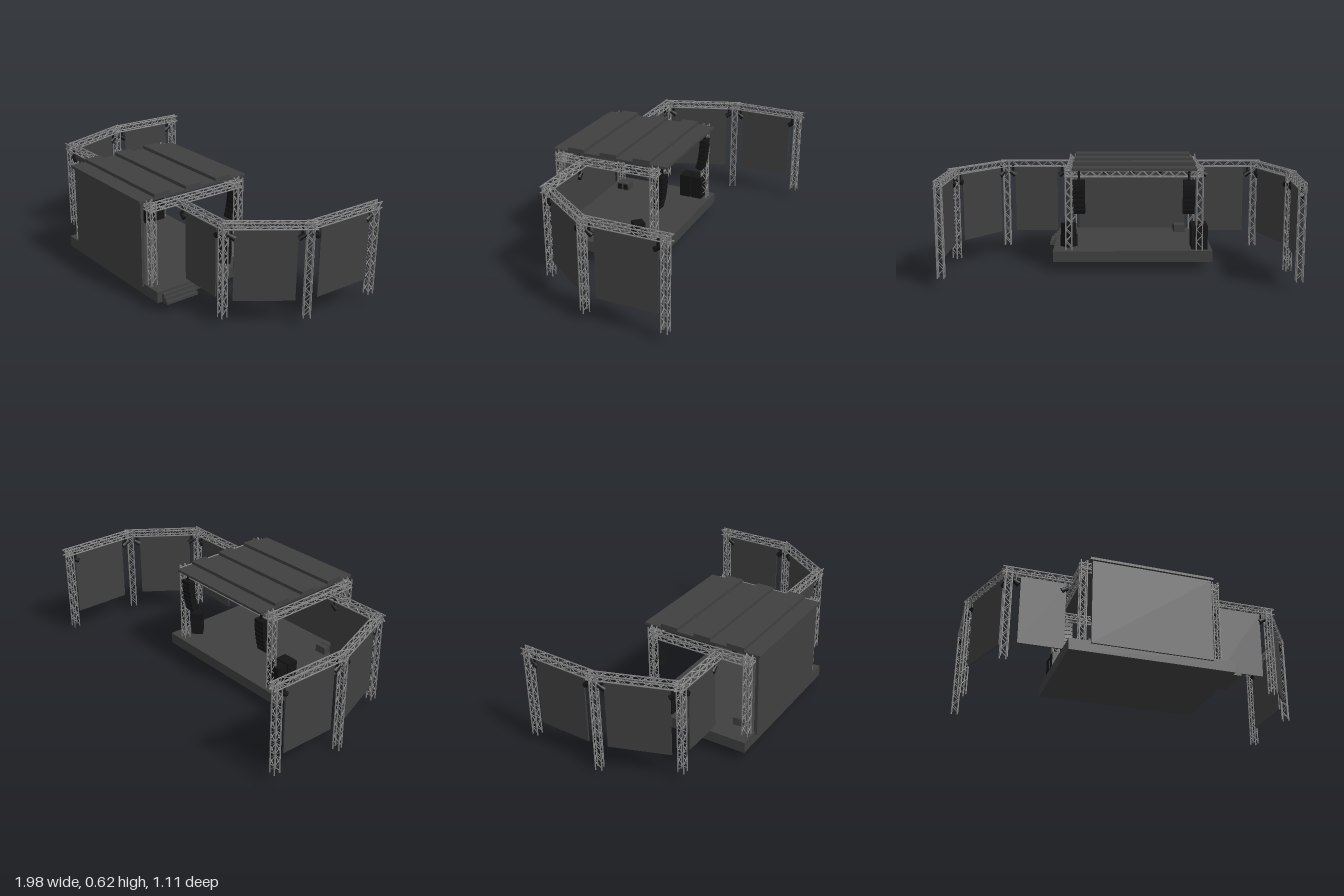
import * as THREE from 'three';
import { mergeGeometries } from 'three/addons/utils/BufferGeometryUtils.js';

const V = (x, y, z) => new THREE.Vector3(x, y, z);
const mat = (name, color) => {
  const m = new THREE.MeshStandardMaterial({ color });
  m.name = name;
  return m;
};

export function createModel() {
  const model = new THREE.Group();
  const panelGrey = mat('panel grey', 0x404040);
  const trussGrey = mat('truss grey', 0x808080);
  const black = mat('equipment black', 0x141414);
  const UP = V(0, 1, 0);

  const add = (name, geo, m) => {
    const mesh = new THREE.Mesh(geo, m);
    mesh.name = name;
    model.add(mesh);
    return mesh;
  };
  // Box given by its limits on each axis
  const box = (name, m, x0, x1, y0, y1, z0, z1) => {
    const b = add(name, new THREE.BoxGeometry(x1 - x0, y1 - y0, z1 - z0), m);
    b.position.set((x0 + x1) / 2, (y0 + y1) / 2, (z0 + z1) / 2);
    return b;
  };
  // Round bar between two points
  const bar = (a, b, r) => {
    const d = b.clone().sub(a);
    const g = new THREE.CylinderGeometry(r, r, d.length(), 6);
    g.applyQuaternion(new THREE.Quaternion().setFromUnitVectors(UP, d.normalize()));
    return g.translate((a.x + b.x) / 2, (a.y + b.y) / 2, (a.z + b.z) / 2);
  };
  // Square lattice truss: four chords and a zigzag on each side
  const truss = (name, a, b, side, w = 0.034) => {
    const dir = b.clone().sub(a);
    const n = Math.max(2, Math.round(dir.length() / 0.038));
    const other = dir.clone().normalize().cross(side).normalize();
    const at = (k, t) => {
      const [s, o] = [[-1, -1], [1, -1], [1, 1], [-1, 1]][k % 4];
      return a.clone().addScaledVector(dir, t)
        .addScaledVector(side, s * w / 2).addScaledVector(other, o * w / 2);
    };
    const parts = [];
    for (let k = 0; k < 4; k++) {
      parts.push(bar(at(k, 0), at(k, 1), 0.004));
      for (let i = 0; i < n; i++) {
        const flip = (i + (k >> 1)) % 2;
        const t0 = (i + 0.4) / (n + 0.4), t1 = (i + 1.4) / (n + 0.4);
        parts.push(bar(at(k + flip, t0), at(k + 1 - flip, t1), 0.0025));
      }
    }
    add(name, mergeGeometries(parts), trussGrey);
  };
  const tower = (name, x, z, y0, y1, yaw = 0) =>
    truss(name, V(x, y0, z), V(x, y1, z), V(Math.cos(yaw), 0, -Math.sin(yaw)));
  const beam = (name, x0, z0, x1, z1) => {
    const side = V(z1 - z0, 0, x0 - x1).normalize();
    truss(name, V(x0, 0.568, z0), V(x1, 0.568, z1), side);
  };
  // Small spotlight hanging from a clamp, aimed along yaw
  const lamp = (x, z, yaw) => {
    const g = new THREE.Group();
    g.name = 'spotlight';
    const can = new THREE.Mesh(new THREE.CylinderGeometry(0.011, 0.016, 0.04, 10), black);
    can.rotation.x = -1.0;
    const hook = new THREE.Mesh(new THREE.BoxGeometry(0.01, 0.045, 0.01), black);
    hook.position.y = 0.025;
    g.add(can, hook);
    g.position.set(x, 0.508, z);
    g.rotation.y = yaw;
    model.add(g);
  };

  // Stage deck and stairs
  box('stageDeck', panelGrey, -0.53, 0.38, 0.065, 0.128, -0.12, 0.53);
  for (let i = 0; i < 3; i++)
    box('stairStep', panelGrey, 0.38, 0.396 + i * 0.016, 0.065, 0.113 - i * 0.016, 0.3, 0.5);

  // Backdrop wall and ribbed roof
  box('backdropWall', panelGrey, -0.415, 0.255, 0.113, 0.595, 0.522, 0.54);
  box('roofSlab', panelGrey, -0.432, 0.266, 0.592, 0.606, -0.145, 0.553);
  for (const z of [-0.04, 0.16, 0.36])
    box('roofRib', panelGrey, -0.432, 0.266, 0.606, 0.625, z, z + 0.1);

  // Stage frame
  for (const x of [-0.455, 0.29]) {
    for (const z of [-0.08, 0.498]) tower('stageTower', x, z, 0.128, 0.605);
    beam('sideBeam', x, -0.1, x, 0.52);
  }
  for (const z of [-0.08, 0.498]) beam('crossBeam', -0.475, z, 0.31, z);

  // Screen wings: corner points [x, z, foot height] and panel spans along each run
  const wings = [
    {
      pts: [[0.31, 0.34], [0.69, 0.345, 0.06], [0.945, 0, 0.06], [0.953, -0.445, 0.06]],
      spans: [[0.18, 0.855], [0.12, 0.86], [0.15, 0.92]], tail: 0.035,
    },
    {
      pts: [[-0.475, 0.335], [-0.82, 0.335, 0.06], [-0.963, -0.085, 0.005], [-0.945, -0.515, 0.06]],
      spans: [[0.09, 0.81], [0.12, 0.88], [0.14, 0.88]], tail: 0.035,
    },
  ];
  for (const { pts, spans, tail } of wings) {
    for (let i = 0; i < 3; i++) {
      const [x0, z0] = pts[i], [x1, z1, foot] = pts[i + 1];
      const dx = x1 - x0, dz = z1 - z0, len = Math.hypot(dx, dz);
      const yaw = Math.atan2(-dz, dx);
      const e = tail / len;
      beam('wingBeam', x0, z0, x1 + dx * e, z1 + dz * e);
      tower('wingTower', x1, z1, foot, 0.588, yaw);

      // Hanging screen
      const [s, t] = spans[i], mid = (s + t) / 2;
      const screen = add('screen', new THREE.BoxGeometry(len * (t - s), 0.392, 0.008), panelGrey);
      screen.position.set(x0 + dx * mid, 0.35, z0 + dz * mid);
      screen.rotation.y = yaw;

      // Spotlights at both ends of the run
      for (const d of [0.04, len - 0.04])
        lamp(x0 + dx * d / len, z0 + dz * d / len, yaw + (d < 0.05 ? 1 : -1) * Math.PI / 2);
    }
  }

  // Hanging line arrays, slightly curved
  for (const x of [-0.392, 0.228]) {
    for (let i = 0; i < 7; i++) {
      const cab = add('lineArrayCabinet', new THREE.BoxGeometry(0.066, 0.024, 0.04), black);
      cab.position.set(x, 0.522 - i * 0.0275, -0.1 + i * i * 0.0006);
      cab.rotation.x = -i * 0.05;
    }
    box('lineArrayHanger', black, x - 0.006, x + 0.006, 0.53, 0.592, -0.106, -0.094);
  }

  // Floor speakers: a stacked pair on one side, a turned cabinet on the other
  for (const z of [-0.075, 0.0])
    box('subwoofer', black, -0.505, -0.412, 0.128, 0.265, z, z + 0.066);
  for (const [y, h, s] of [[0.163, 0.07, 0.07], [0.232, 0.066, 0.064]]) {
    const cab = add('cornerSpeaker', new THREE.BoxGeometry(s, h, s), black);
    cab.position.set(0.295, y, 0.015);
    cab.rotation.y = Math.PI / 4;
  }

  // Amplifier cases
  for (let i = 0; i < 2; i++) {
    box('amplifierCase', panelGrey, -0.41, -0.34, 0.128, 0.172, 0.392 + i * 0.04, 0.428 + i * 0.04);
    box('amplifierGrille', black, -0.34, -0.336, 0.134, 0.166, 0.397 + i * 0.04, 0.423 + i * 0.04);
  }

  // Lamps over the stage
  for (const x of [-0.25, -0.08, 0.09]) lamp(x, 0.48, Math.PI);

  return model;
}
